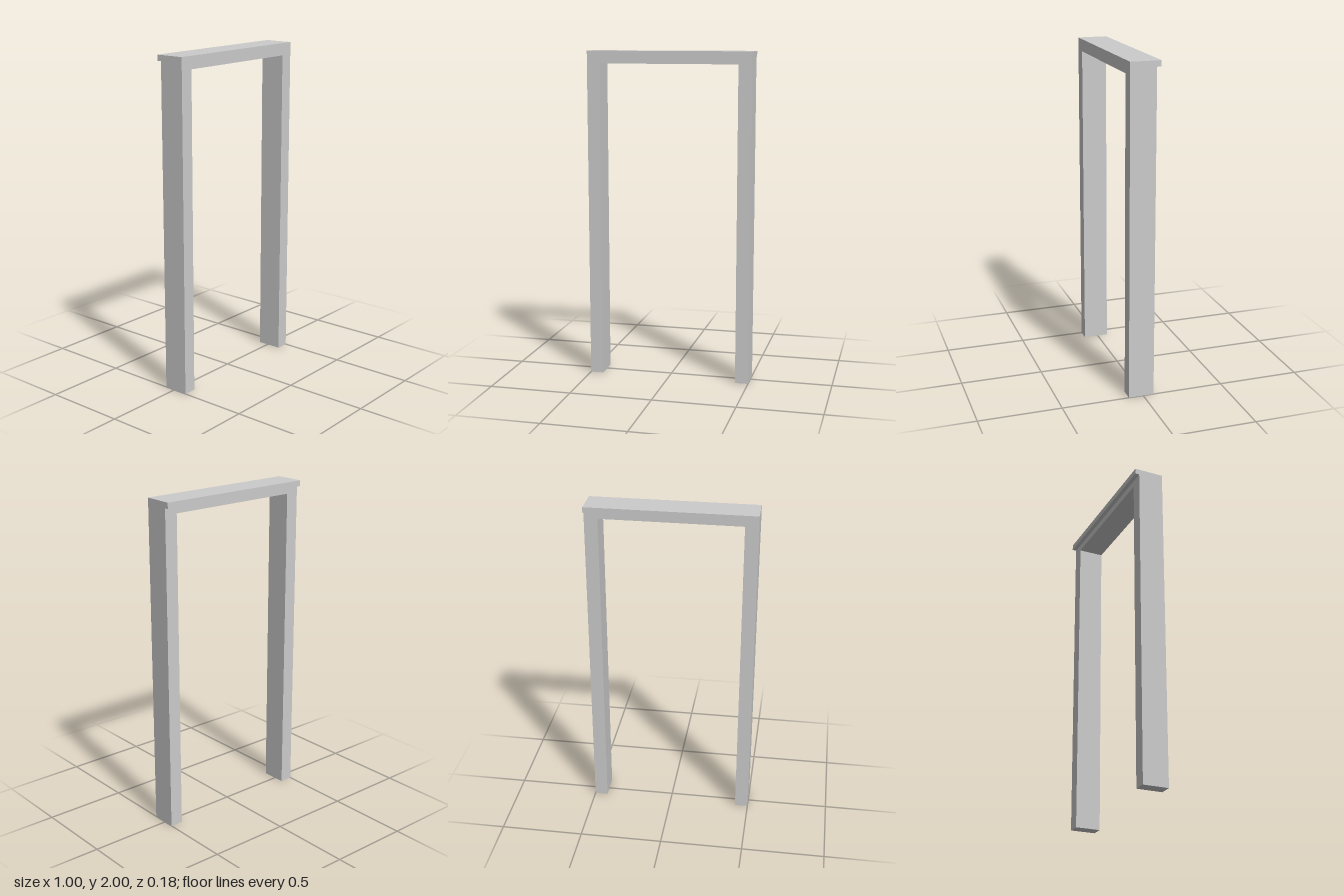
import * as THREE from 'three';

const HALF_WIDTH = 0.5, HEIGHT = 2;
const INNER_HALF = 0.42, INNER_TOP = 1.925;   // door opening
const FRONT = 0.09, BACK = -0.065;            // frame depth
const LIP_BACK = -0.09, LIP_BOTTOM = 1.965;   // overhang behind the top

export function createModel() {
  const group = new THREE.Group();
  group.name = 'doorFrame';
  const material = new THREE.MeshStandardMaterial({ color: 0xcccccc });

  // Two posts and the header as one continuous outline
  const outline = new THREE.Shape([
    [-HALF_WIDTH, 0], [-INNER_HALF, 0], [-INNER_HALF, INNER_TOP], [INNER_HALF, INNER_TOP],
    [INNER_HALF, 0], [HALF_WIDTH, 0], [HALF_WIDTH, HEIGHT], [-HALF_WIDTH, HEIGHT],
  ].map(([x, y]) => new THREE.Vector2(x, y)));
  const frame = new THREE.Mesh(
    new THREE.ExtrudeGeometry(outline, { depth: FRONT - BACK, bevelEnabled: false }), material);
  frame.name = 'postsAndHeader';
  frame.position.z = BACK;
  group.add(frame);

  // Thin lip along the top back edge
  const lip = new THREE.Mesh(
    new THREE.BoxGeometry(2 * HALF_WIDTH, HEIGHT - LIP_BOTTOM, BACK - LIP_BACK), material);
  lip.name = 'backLip';
  lip.position.set(0, (HEIGHT + LIP_BOTTOM) / 2, (BACK + LIP_BACK) / 2);
  group.add(lip);

  return group;
}
